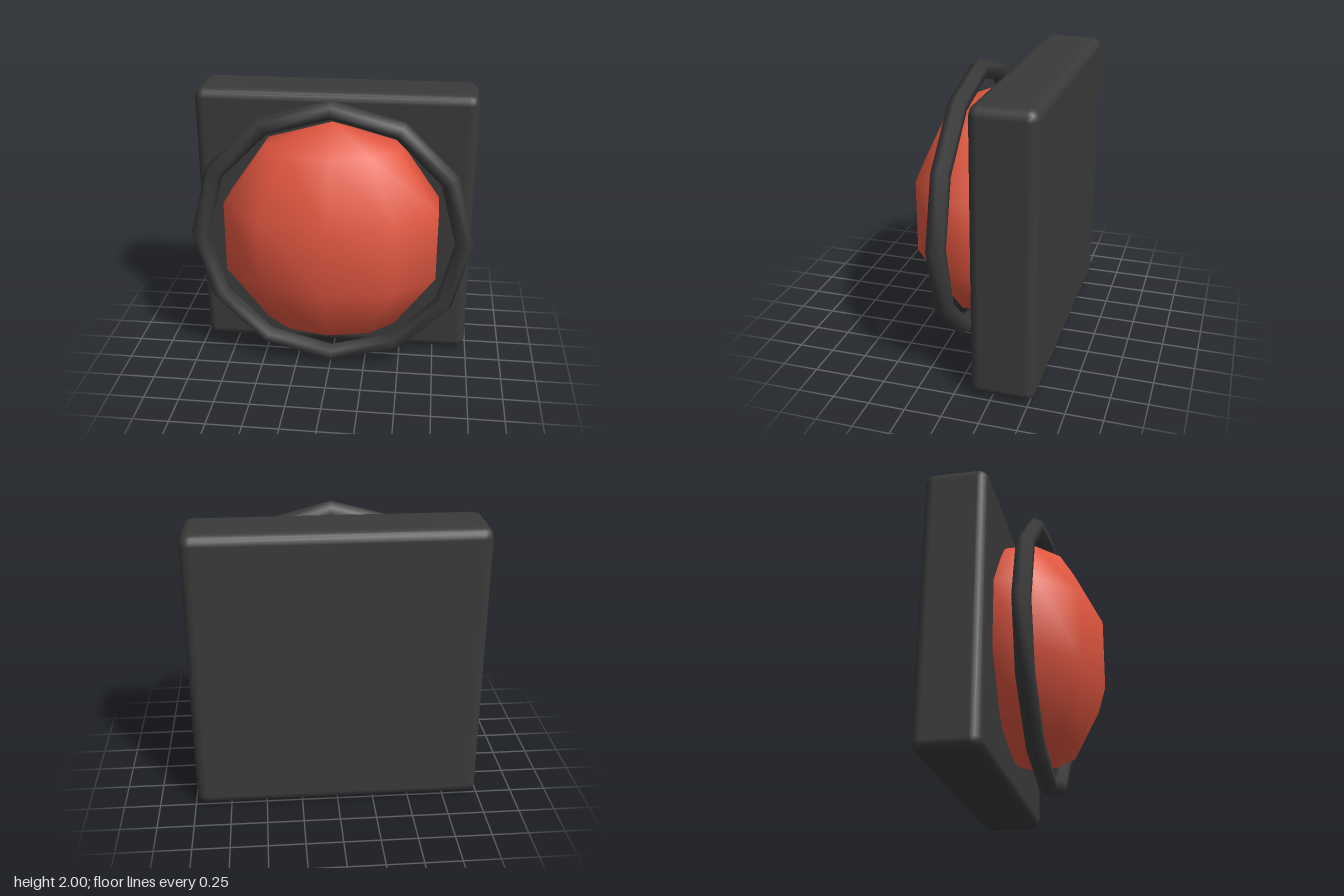
import * as THREE from 'three';
import { RoundedBoxGeometry } from 'three/addons/geometries/RoundedBoxGeometry.js';

export function createModel() {
  const charcoal = new THREE.MeshStandardMaterial({ color: 0x3a3a3a });
  charcoal.name = 'charcoal';
  const red = new THREE.MeshStandardMaterial({ color: 0xe25741 });
  red.name = 'red';

  const model = new THREE.Group();
  model.name = 'button';

  function add(name, geometry, material, z) {
    const mesh = new THREE.Mesh(geometry, material);
    mesh.name = name;
    mesh.position.set(0, 1, z);
    model.add(mesh);
    return mesh;
  }

  // square backing block with softened edges
  add('backPlate', new RoundedBoxGeometry(1.976, 1.976, 0.438, 2, 0.07), charcoal, -0.32);

  // flattened ten-sided dome, one corner facing straight forward
  const dome = add('dome', new THREE.SphereGeometry(0.822, 10, 5, Math.PI / 10), red, 0.015);
  dome.scale.z = 0.66;

  // twelve-sided ring floating in front of the plate
  add('ring', new THREE.TorusGeometry(0.934, 0.066, 6, 12), charcoal, 0.123);

  return model;
}
